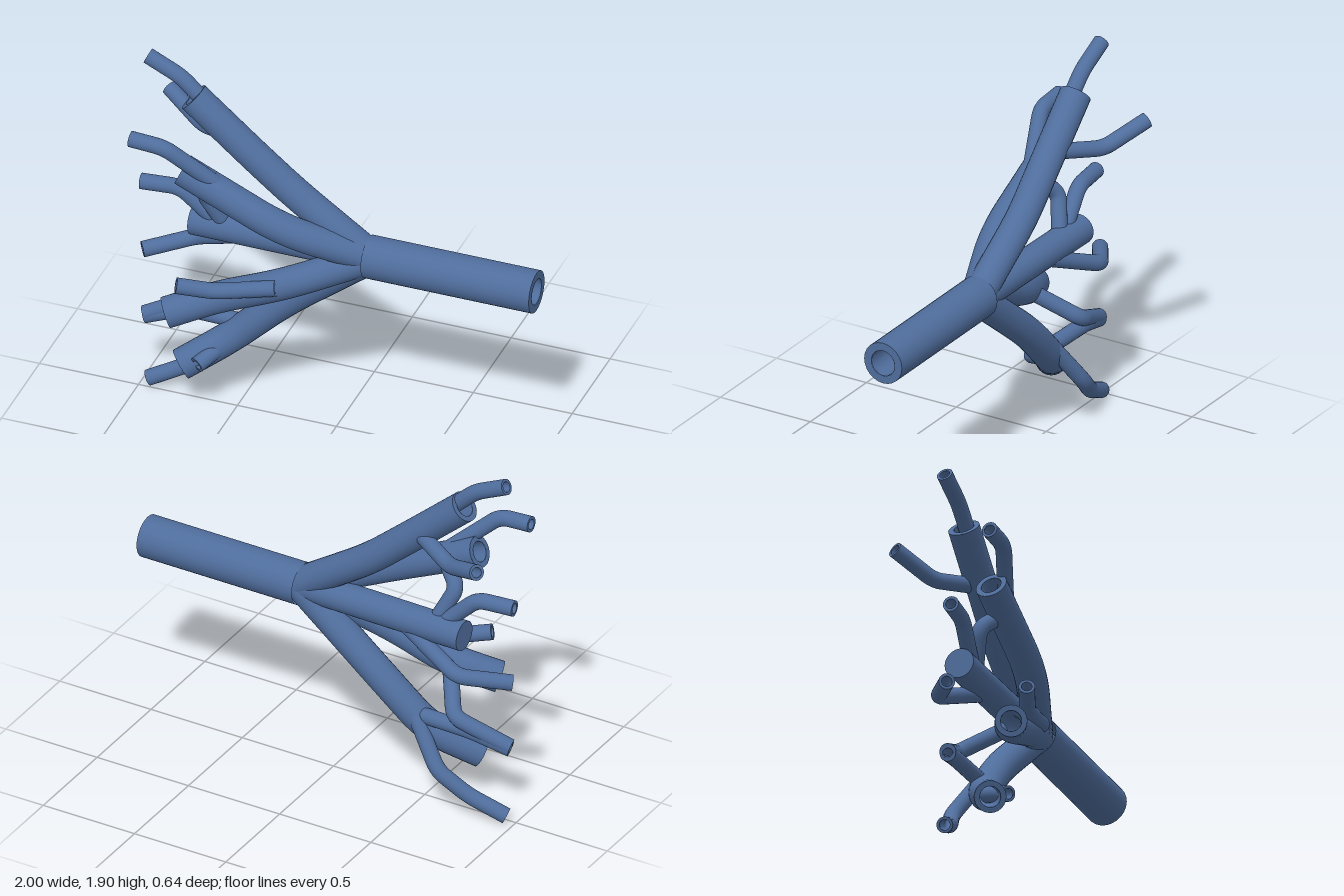
import * as THREE from 'three';

const blue = new THREE.MeshStandardMaterial({ color: 0x4f6d9c, side: THREE.DoubleSide });
blue.name = 'steel blue';

// Polyline with rounded corners
function roundedPath(pts, bend) {
  const v = pts.map(p => new THREE.Vector3(...p));
  const path = new THREE.CurvePath();
  let from = v[0];
  for (let i = 1; i < v.length - 1; i++) {
    const toPrev = v[i - 1].clone().sub(v[i]);
    const toNext = v[i + 1].clone().sub(v[i]);
    const d = Math.min(bend, toPrev.length() * 0.45, toNext.length() * 0.45);
    const a = v[i].clone().addScaledVector(toPrev.normalize(), d);
    const b = v[i].clone().addScaledVector(toNext.normalize(), d);
    path.add(new THREE.LineCurve3(from, a));
    path.add(new THREE.QuadraticBezierCurve3(a, v[i], b));
    from = b;
  }
  path.add(new THREE.LineCurve3(from, v[v.length - 1]));
  return path;
}

// Hollow pipe: outer wall, inner wall and an end rim (or a solid end cap)
function pipe(name, pts, radius, { inner = radius * 0.65, bend = 0.05, capped = false } = {}) {
  const group = new THREE.Group();
  group.name = name;
  const path = roundedPath(pts, bend);
  const add = (part, geometry) => {
    const mesh = new THREE.Mesh(geometry, blue);
    mesh.name = part;
    group.add(mesh);
    return mesh;
  };
  add('outerWall', new THREE.TubeGeometry(path, 40, radius, 24));
  if (!capped) add('innerWall', new THREE.TubeGeometry(path, 40, inner, 16));
  const end = capped
    ? add('endCap', new THREE.CircleGeometry(radius, 24))
    : add('endRim', new THREE.RingGeometry(inner, radius, 24));
  const tip = path.getPointAt(1);
  end.position.copy(tip);
  end.lookAt(tip.clone().add(path.getTangentAt(1)));
  return group;
}

export function createModel() {
  const model = new THREE.Group();
  model.name = 'branchingPipes';

  // Main trunk
  model.add(pipe('trunk', [[0.15, 0.99, -0.03], [1, 0.99, -0.03]], 0.105, { inner: 0.065 }));

  // Five thick branches fanning out from the trunk
  const start = [0.17, 0.99, -0.03];
  const branches = {
    topBranch: [start, [-0.22, 1.25, -0.04], [-0.42, 1.42, -0.03], [-0.73, 1.69, -0.02]],
    upperBranch: [start, [-0.22, 1.13, 0.11], [-0.73, 1.365, 0.12]],
    middleBranch: [start, [-0.74, 0.985, -0.04]],
    lowerBranch: [start, [-0.22, 0.83, 0.11], [-0.55, 0.7, 0.14], [-0.77, 0.62, 0.24]],
    bottomBranch: [start, [-0.28, 0.63, -0.04], [-0.53, 0.39, -0.01], [-0.74, 0.26, 0.12]],
  };
  for (const [name, pts] of Object.entries(branches)) {
    model.add(pipe(name, pts, name === 'middleBranch' ? 0.075 : 0.077,
      { bend: 0.16, capped: name === 'middleBranch' }));
  }

  // Thin twigs growing from the branches
  const twigs = {
    topTwig: [[-0.6, 1.61, -0.02], [-0.79, 1.79, -0.02], [-0.96, 1.87, -0.02]],
    topBackTwig: [[-0.5, 1.49, -0.05], [-0.74, 1.44, -0.17], [-0.95, 1.53, -0.28]],
    upperTwig: [[-0.55, 1.32, 0.12], [-0.79, 1.53, 0.21], [-0.96, 1.54, 0.21]],
    upperConnector: [[-0.55, 1.29, 0.1], [-0.66, 1.19, 0.03], [-0.57, 1.0, -0.03]],
    middleUpTwig: [[-0.6, 1.0, -0.03], [-0.79, 1.18, 0], [-0.98, 1.18, 0.02]],
    middleDownTwig: [[-0.45, 0.95, -0.06], [-0.76, 0.82, -0.14], [-0.98, 0.78, 0]],
    lowerFrontTwig: [[-0.24, 0.84, 0.17], [-0.53, 0.785, 0.22], [-0.7, 0.82, 0.29]],
    lowerConnector: [[-0.57, 0.68, 0.12], [-0.7, 0.54, -0.07], [-0.97, 0.42, 0]],
    bottomUpTwig: [[-0.45, 0.47, -0.03], [-0.78, 0.47, -0.04], [-0.97, 0.41, 0]],
    bottomStub: [[-0.55, 0.37, 0.02], [-0.64, 0.31, 0.17]],
    bottomTwig: [[-0.48, 0.47, -0.05], [-0.64, 0.25, -0.12], [-0.78, 0.13, -0.07], [-0.96, 0.045, -0.02]],
  };
  for (const [name, pts] of Object.entries(twigs)) model.add(pipe(name, pts, 0.039));

  return model;
}
